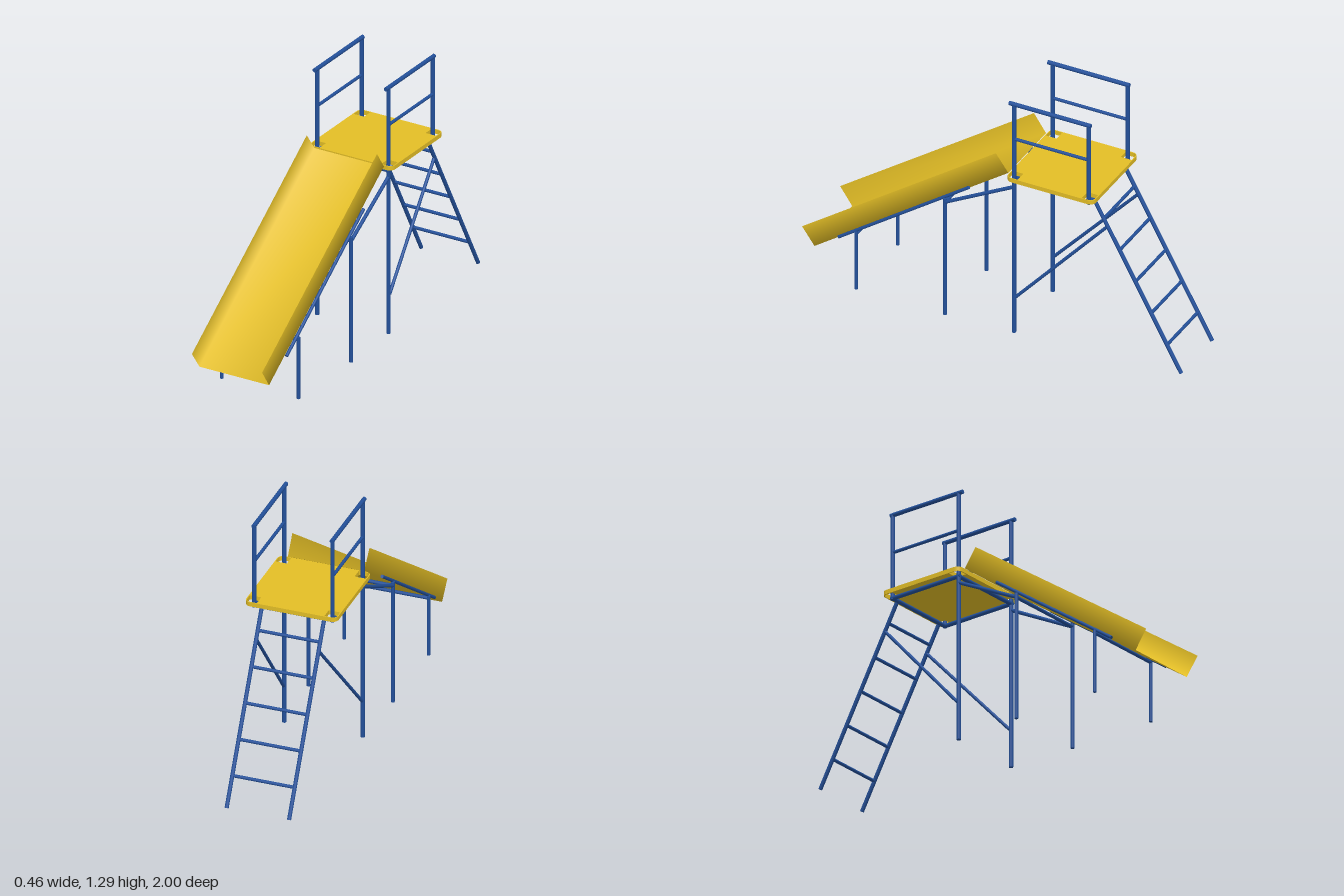
import * as THREE from 'three';

export function createModel() {
  const model = new THREE.Group();
  model.name = 'playgroundSlide';

  const blue = new THREE.MeshStandardMaterial({ color: 0x23509a });
  blue.name = 'blue painted steel';
  const yellow = new THREE.MeshStandardMaterial({ color: 0xe3be26, side: THREE.DoubleSide });
  yellow.name = 'yellow plastic';

  const add = (name, geometry, material) => {
    const mesh = new THREE.Mesh(geometry, material);
    mesh.name = name;
    model.add(mesh);
  };

  // Straight round bar between two points
  const up = new THREE.Vector3(0, 1, 0);
  const bar = (name, from, to, radius) => {
    const a = new THREE.Vector3(...from);
    const b = new THREE.Vector3(...to);
    const dir = b.clone().sub(a);
    const g = new THREE.CylinderGeometry(radius, radius, dir.length(), 12);
    g.applyQuaternion(new THREE.Quaternion().setFromUnitVectors(up, dir.normalize()));
    g.translate(...a.add(b).multiplyScalar(0.5).toArray());
    add(name, g, blue);
  };

  // Bar spanning the width, at a given height and depth
  const crossbar = (name, halfWidth, y, z, radius) =>
    bar(name, [-halfWidth, y, z], [halfWidth, y, z], radius);

  const postX = 0.197, frontZ = -0.125, backZ = -0.522;
  const ladderX = 0.157, legX = 0.212, railX = 0.205;

  for (const [side, s] of [['left', 1], ['right', -1]]) {
    const x = s * postX;
    // Tower posts, handrails and platform frame
    bar(side + 'FrontPost', [x, 0, frontZ], [x, 1.28, frontZ], 0.0105);
    bar(side + 'BackPost', [x, 0.84, backZ], [x, 1.28, backZ], 0.0105);
    bar(side + 'HandRail', [x, 1.279, -0.1], [x, 1.279, -0.533], 0.0105);
    bar(side + 'MiddleRail', [x, 1.085, frontZ], [x, 1.085, backZ], 0.008);
    bar(side + 'FrameBar', [x, 0.848, -0.115], [x, 0.848, -0.53], 0.0105);

    // Ladder rail and its brace to the front post
    bar(side + 'LadderRail', [s * ladderX, 0.85, -0.525], [s * ladderX, 0.007, -0.99], 0.01);
    bar(side + 'LadderBrace', [x, 0.2, -0.135], [s * ladderX, 0.71, -0.597], 0.008);

    // Slide rail, legs and brace to the tower
    bar(side + 'SlideRail', [s * railX, 0.745, 0.11], [s * railX, 0.258, 0.8], 0.008);
    bar(side + 'UpperSlideLeg', [s * legX, 0, 0.233], [s * legX, 0.65, 0.233], 0.0095);
    bar(side + 'LowerSlideLeg', [s * legX, 0, 0.704], [s * legX, 0.32, 0.704], 0.0085);
    bar(side + 'SlideBrace', [s * legX, 0.63, 0.233], [x, 0.815, frontZ], 0.009);
  }

  // Bars joining the two sides
  crossbar('frontFrameBar', postX, 0.848, frontZ, 0.0105);
  crossbar('backFrameBar', postX, 0.848, backZ, 0.0105);
  crossbar('upperSlideCrossbar', legX, 0.63, 0.233, 0.009);
  crossbar('lowerSlideCrossbar', legX, 0.308, 0.704, 0.0085);

  // Ladder rungs
  for (let i = 0; i < 5; i++) {
    const z = -0.915 + i * 0.0838;
    crossbar('ladderRung' + (i + 1), ladderX, 0.007 + (z + 0.99) * 1.813, z, 0.008);
  }

  // Platform with open corners around the posts
  const half = 0.232, r = 0.03;
  const deck = new THREE.Shape();
  deck.moveTo(half - r, -half);
  deck.absarc(half - r, -half + r, r, -Math.PI / 2, 0);
  deck.absarc(half - r, half - r, r, 0, Math.PI / 2);
  deck.absarc(-half + r, half - r, r, Math.PI / 2, Math.PI);
  deck.absarc(-half + r, -half + r, r, Math.PI, Math.PI * 1.5);
  const inner = 0.17, outer = 0.227, curve = 0.025;
  for (const sx of [1, -1]) for (const sy of [1, -1]) {
    const hole = new THREE.Path();
    hole.moveTo(sx * inner, sy * inner);
    hole.lineTo(sx * outer, sy * inner);
    hole.lineTo(sx * outer, sy * (outer - curve));
    hole.quadraticCurveTo(sx * outer, sy * outer, sx * (outer - curve), sy * outer);
    hole.lineTo(sx * inner, sy * outer);
    hole.closePath();
    deck.holes.push(hole);
  }
  const deckGeometry = new THREE.ExtrudeGeometry(deck, { depth: 0.022, bevelEnabled: false, curveSegments: 5 });
  deckGeometry.rotateX(-Math.PI / 2);
  deckGeometry.translate(0, 0.861, -0.33);
  add('platform', deckGeometry, yellow);

  // Slide chute: a thin sheet with upright sides, smooth across the bends
  const section = [[-0.194, 1], [-0.192, 0], [0.192, 0], [0.194, 1]];
  const ends = [[0.88, -0.092], [0.158, 0.935]];
  const points = [], faces = [];
  for (const [y, z] of ends)
    for (const [x, h] of section) points.push(x, y + h * 0.092, z + h * 0.065);
  for (let i = 0; i < 3; i++) faces.push(i, i + 4, i + 1, i + 1, i + 4, i + 5);
  const chute = new THREE.BufferGeometry();
  chute.setAttribute('position', new THREE.Float32BufferAttribute(points, 3));
  chute.setIndex(faces);
  chute.computeVertexNormals();
  add('slideChute', chute, yellow);

  return model;
}
